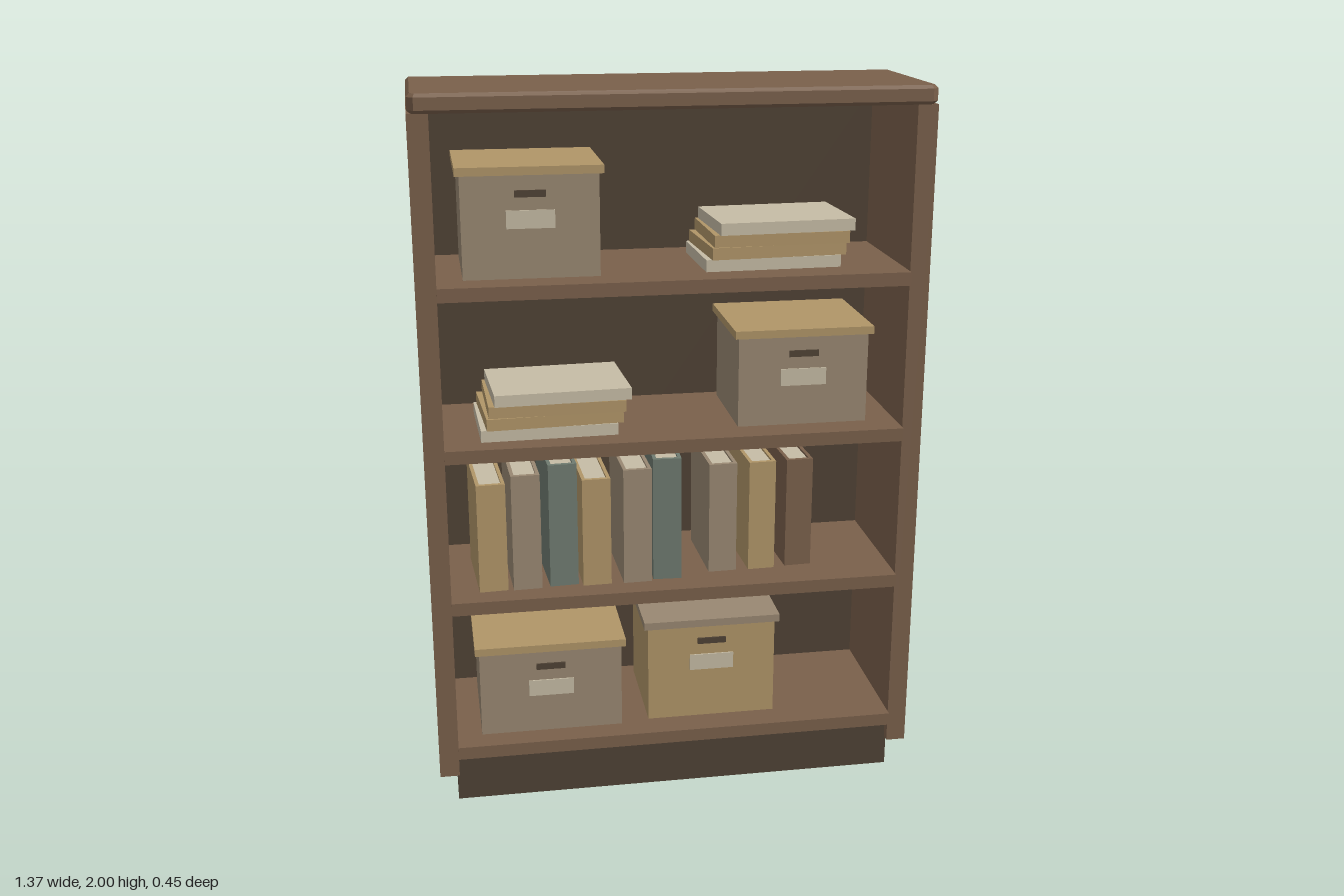
import * as THREE from 'three';

const mat = (name, color) => {
  const m = new THREE.MeshStandardMaterial({ color });
  m.name = name;
  return m;
};

export function createModel() {
  const root = new THREE.Group();
  root.name = 'bookcase';
  const wood = mat('wood', 0x7a604b);
  const dark = mat('darkWood', 0x4f4235);
  const gold = mat('tan', 0xb09568);
  const cream = mat('paper', 0xc6bca5);
  const teal = mat('greyGreen', 0x6f7b70);
  const taupe = mat('taupe', 0x998872);

  // Box given by its extents on each axis
  const slab = (name, m, [x0, x1], [y0, y1], [z0, z1], parent = root) => {
    const mesh = new THREE.Mesh(new THREE.BoxGeometry(x1 - x0, y1 - y0, z1 - z0), m);
    mesh.position.set((x0 + x1) / 2, (y0 + y1) / 2, (z0 + z1) / 2);
    mesh.name = name;
    parent.add(mesh);
    return mesh;
  };
  const group = (name, x, y, z, yaw = 0) => {
    const g = new THREE.Group();
    g.name = name;
    g.position.set(x, y, z);
    g.rotation.y = yaw;
    root.add(g);
    return g;
  };

  // Carcass
  slab('plinth', dark, [-0.635, 0.635], [0, 0.13], [-0.21, 0.19]);
  slab('leftSide', wood, [0.63, 0.685], [0.09, 1.95], [-0.225, 0.215]);
  slab('rightSide', wood, [-0.685, -0.63], [0.09, 1.95], [-0.225, 0.215]);
  slab('backPanel', dark, [-0.63, 0.63], [0.125, 1.955], [-0.22, -0.2]);
  const shelfTops = [0.185, 0.63, 1.07, 1.51];
  for (const y of shelfTops) slab('shelf', wood, [-0.63, 0.63], [y - 0.037, y], [-0.2, 0.228]);

  // Top board with bevelled edges and clipped front corners
  const b = 0.009, w = 0.683 - b, d = 0.227 - b, c = 0.012;
  const outline = new THREE.Shape([
    [-w, d], [-w, -d + c], [-w + c, -d], [w - c, -d], [w, -d + c], [w, d],
  ].map(([x, y]) => new THREE.Vector2(x, y)));
  const topGeo = new THREE.ExtrudeGeometry(outline, {
    depth: 0.05 - 2 * b, bevelEnabled: true, bevelSize: b, bevelThickness: b, bevelSegments: 1,
  });
  topGeo.rotateX(-Math.PI / 2).translate(0, 1.95 + b, 0);
  const top = new THREE.Mesh(topGeo, wood);
  top.name = 'topBoard';
  root.add(top);

  // Storage boxes: x range, floor, lid top, front z, body and lid colours
  const boxes = [
    [-0.56, -0.197, 1.51, 1.805, 0.14, taupe, gold],
    [0.18, 0.545, 1.07, 1.345, 0.14, taupe, gold],
    [-0.56, -0.155, 0.185, 0.46, 0.16, taupe, gold],
    [-0.075, 0.297, 0.185, 0.497, 0.145, gold, taupe],
  ];
  for (const [x0, x1, y0, y1, front, body, lid] of boxes) {
    const g = group('storageBox', (x0 + x1) / 2, y0, front);
    const hw = (x1 - x0) / 2, h = y1 - y0;
    slab('boxBody', body, [-hw, hw], [0, h - 0.02], [-0.31, 0], g);
    slab('boxLid', lid, [-hw - 0.012, hw + 0.012], [h - 0.022, h], [-0.322, 0.012], g);
    slab('handleSlot', dark, [-0.041, 0.041], [h - 0.08, h - 0.062], [-0.001, 0.005], g);
    slab('label', cream, [-0.064, 0.064], [h - 0.162, h - 0.114], [-0.001, 0.004], g);
  }

  // Standing books: spine x range, top, front z, yaw, colour
  const books = [
    [-0.55, -0.47, 0.945, 0.16, 0.06, gold],
    [-0.455, -0.375, 0.967, 0.16, 0.04, taupe],
    [-0.352, -0.272, 0.99, 0.15, 0.06, teal],
    [-0.26, -0.18, 0.945, 0.16, 0.03, gold],
    [-0.145, -0.065, 0.967, 0.16, 0.03, taupe],
    [-0.06, 0.02, 0.99, 0.15, -0.04, teal],
    [0.105, 0.185, 0.955, 0.12, 0.03, taupe],
    [0.22, 0.297, 0.955, 0.12, 0.04, gold],
    [0.33, 0.407, 0.953, 0.11, 0.05, wood],
  ];
  for (const [x0, x1, y1, front, yaw, m] of books) {
    const g = group('book', (x0 + x1) / 2, 0.63, front, yaw);
    const hw = (x1 - x0) / 2, h = y1 - 0.63;
    slab('spine', m, [-hw, hw], [0, h], [-0.012, 0], g);
    for (const s of [-1, 1]) {
      const e = [s * hw, s * (hw - 0.01)].sort((p, q) => p - q);
      slab('cover', m, e, [0, h], [-0.25, -0.012], g);
    }
    slab('pages', cream, [-hw + 0.01, hw - 0.01], [0.005, h - 0.006], [-0.243, -0.012], g);
  }

  // Stacks of lying books, each layer shifted and turned a little
  const stack = (x, y, z) => [cream, gold, gold, cream].forEach((m, i) => {
    const g = group('stackedBook', x + i * 0.012, y + i * 0.0325, z, [0.03, 0.06, 0.02, 0.05][i]);
    slab('stackLayer', m, [-0.187, 0.187], [0, 0.0325], [-0.135, 0.135], g);
  });
  stack(0.27, 1.51, 0);
  stack(-0.347, 1.07, 0.025);

  return root;
}
